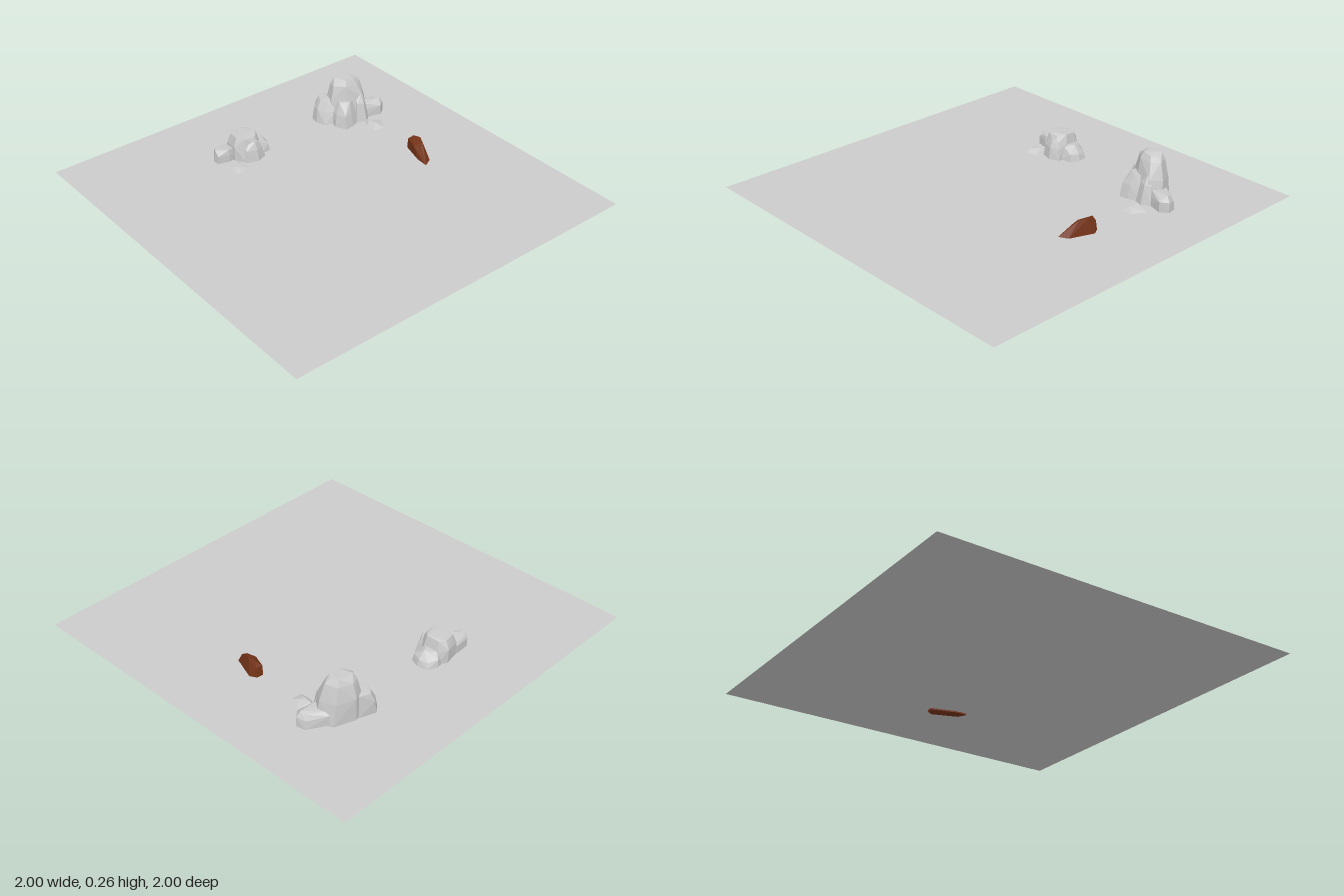
import * as THREE from 'three';
import { ConvexGeometry } from 'three/addons/geometries/ConvexGeometry.js';

const GROUND = 0.02;
const grey = new THREE.MeshStandardMaterial({ color: 0xcccccc, flatShading: true, side: THREE.DoubleSide });
const brown = new THREE.MeshStandardMaterial({ color: 0x743418, flatShading: true });

// Faceted rock: a footprint of [x, z] corners, repeated at each level
// [y, scale, shiftX, shiftZ] with a small fixed wobble in height and radius.
function rock(name, footprint, levels, material = grey) {
  const n = footprint.length;
  const cx = footprint.reduce((s, p) => s + p[0], 0) / n;
  const cz = footprint.reduce((s, p) => s + p[1], 0) / n;
  const points = [];
  levels.forEach(([y, scale, dx = 0, dz = 0], k) => {
    footprint.forEach(([x, z], i) => {
      const w = k ? Math.sin(i * 2.4 + k * 1.7) : 0;
      const s = scale * (1 + 0.06 * w);
      points.push(new THREE.Vector3(cx + dx + (x - cx) * s, y + 0.006 * w, cz + dz + (z - cz) * s));
    });
  });
  const mesh = new THREE.Mesh(new ConvexGeometry(points), material);
  mesh.name = name;
  return mesh;
}

function cluster(name, ...rocks) {
  const group = new THREE.Group();
  group.name = name;
  group.add(...rocks);
  return group;
}

export function createModel() {
  const model = new THREE.Group();
  model.name = 'rockyGround';

  // Flat ground sheet
  const ground = new THREE.Mesh(new THREE.PlaneGeometry(2, 2).rotateX(-Math.PI / 2), grey);
  ground.name = 'ground';
  ground.position.y = GROUND;
  model.add(ground);

  // Tall outcrop at the back
  model.add(cluster('tallOutcrop',
    rock('tallPeak',
      [[-0.59, -0.49], [-0.55, -0.60], [-0.46, -0.63], [-0.40, -0.58], [-0.42, -0.47], [-0.49, -0.40], [-0.57, -0.42]],
      [[GROUND, 1], [0.14, 0.86, -0.01, 0], [0.225, 0.66, -0.014, 0.005], [0.252, 0.45, -0.012, 0.005]]),
    rock('rearBoulder',
      [[-0.53, -0.60], [-0.47, -0.70], [-0.42, -0.71], [-0.39, -0.67], [-0.42, -0.57], [-0.48, -0.54]],
      [[GROUND, 1], [0.07, 0.96], [0.095, 0.7]]),
    rock('frontBoulder',
      [[-0.62, -0.39], [-0.59, -0.47], [-0.51, -0.48], [-0.46, -0.42], [-0.49, -0.36], [-0.54, -0.34], [-0.59, -0.35]],
      [[GROUND, 1], [0.09, 0.9, -0.005, -0.008], [0.142, 0.68, -0.012, -0.02]]),
    rock('sideBoulder',
      [[-0.47, -0.53], [-0.41, -0.53], [-0.385, -0.47], [-0.38, -0.42], [-0.44, -0.39], [-0.49, -0.41]],
      [[GROUND, 1], [0.09, 0.85, -0.008, 0], [0.145, 0.55, -0.018, -0.01]]),
    rock('sideShoulder',
      [[-0.47, -0.60], [-0.41, -0.60], [-0.38, -0.56], [-0.40, -0.51], [-0.47, -0.51]],
      [[GROUND, 1], [0.12, 0.7, -0.01, 0], [0.16, 0.4, -0.02, 0]]),
    rock('looseSlab',
      [[-0.38, -0.55], [-0.345, -0.63], [-0.27, -0.59], [-0.275, -0.53], [-0.34, -0.53]],
      [[GROUND, 1], [0.034, 0.4, -0.012, 0]])));

  // Lower outcrop nearer the front
  model.add(cluster('lowOutcrop',
    rock('mainBoulder',
      [[-0.62, 0.12], [-0.59, 0.075], [-0.50, 0.07], [-0.45, 0.11], [-0.455, 0.19], [-0.51, 0.225], [-0.60, 0.215]],
      [[GROUND, 1], [0.09, 0.93, -0.004, 0], [0.143, 0.74, -0.006, 0]]),
    rock('rearBoulder',
      [[-0.61, 0.06], [-0.585, 0.01], [-0.53, 0], [-0.48, 0.02], [-0.47, 0.09], [-0.54, 0.12], [-0.60, 0.11]],
      [[GROUND, 1], [0.055, 0.88, 0, 0.004], [0.09, 0.6, 0, 0.022]]),
    rock('frontBoulder',
      [[-0.605, 0.21], [-0.53, 0.20], [-0.52, 0.25], [-0.535, 0.31], [-0.57, 0.315], [-0.60, 0.29]],
      [[GROUND, 1], [0.06, 0.97], [0.082, 0.82]]),
    rock('sideBoulder',
      [[-0.50, 0.08], [-0.45, 0.075], [-0.43, 0.13], [-0.45, 0.19], [-0.50, 0.21]],
      [[GROUND, 1], [0.08, 0.85, -0.005, 0], [0.115, 0.6, -0.012, 0]]),
    rock('looseSlab',
      [[-0.49, 0.22], [-0.42, 0.21], [-0.40, 0.26], [-0.405, 0.29], [-0.49, 0.29]],
      [[GROUND, 1], [0.032, 0.4, -0.01, 0]])));

  // Brown wedge-shaped stone, sunk slightly into the ground
  const foot = [[-0.04, -0.59], [-0.005, -0.61], [0.13, -0.56], [0.155, -0.51], [0.085, -0.515], [-0.045, -0.555]];
  const stone = rock('brownStone', foot, [[0.012, 1], [0.05, 0.7, -0.02, -0.004]], brown);
  const crest = [
    [-0.035, 0.07, -0.585], [-0.02, 0.097, -0.575], [0.02, 0.1, -0.585], [0.06, 0.096, -0.565],
    [0.075, 0.08, -0.545], [-0.04, 0.075, -0.555], [0.03, 0.075, -0.53], [-0.04, 0, -0.57],
  ].map((p) => new THREE.Vector3(...p));
  const base = foot.map(([x, z]) => new THREE.Vector3(x, 0.012, z));
  stone.geometry = new ConvexGeometry([...base, ...crest]);
  model.add(stone);

  return model;
}
